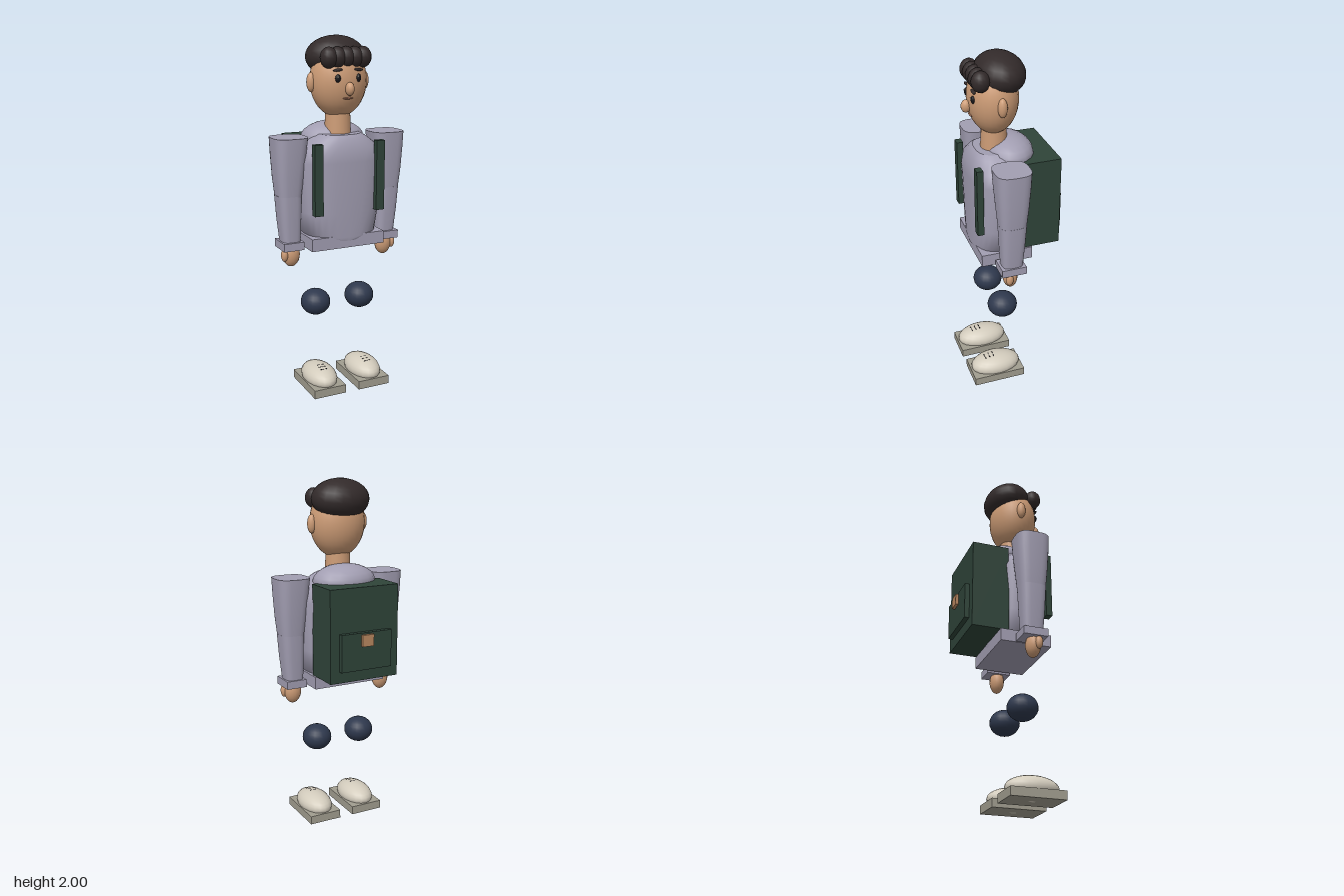
import * as THREE from 'three';

const mat = (name, color) => {
  const m = new THREE.MeshStandardMaterial({ color });
  m.name = name;
  return m;
};

// Stack of rounded-square rings, listed bottom to top as [y, centreX, radiusX, radiusZ]
function loft(rings, power, n = 28) {
  const pos = [], idx = [];
  const ringPoints = ([y, cx, rx, rz]) => {
    for (let i = 0; i < n; i++) {
      const a = (i / n) * Math.PI * 2, c = Math.cos(a), s = Math.sin(a);
      pos.push(cx + rx * Math.sign(c) * Math.abs(c) ** (2 / power), y, rz * Math.sign(s) * Math.abs(s) ** (2 / power));
    }
  };
  rings.forEach(ringPoints);
  for (let r = 0; r < rings.length - 1; r++) {
    for (let i = 0; i < n; i++) {
      const a = r * n + i, b = r * n + (i + 1) % n;
      idx.push(a, a + n, b, b, a + n, b + n);
    }
  }
  // flat caps with their own vertices
  [rings[0], rings[rings.length - 1]].forEach((ring, top) => {
    const start = pos.length / 3;
    ringPoints(ring);
    pos.push(ring[1], ring[0], 0);
    for (let i = 0; i < n; i++) {
      const a = start + i, b = start + (i + 1) % n;
      idx.push(start + n, ...(top ? [b, a] : [a, b]));
    }
  });
  const g = new THREE.BufferGeometry();
  g.setAttribute('position', new THREE.Float32BufferAttribute(pos, 3));
  g.setIndex(idx);
  g.computeVertexNormals();
  return g;
}

export function createModel() {
  const model = new THREE.Group();
  model.name = 'backpacker';

  const skin = mat('skin', 0xcd9c76);
  const hair = mat('hair', 0x322a2a);
  const shirt = mat('lavender shirt', 0xa29eb2);
  const green = mat('pack green', 0x2f4439);
  const navy = mat('navy', 0x2e384d);
  const cream = mat('shoe cream', 0xd3ccbd);
  const soleGrey = mat('sole grey', 0xa19d8f);
  const black = mat('black', 0x17161a);
  const lip = mat('lip', 0xa8735a);
  const tan = mat('buckle tan', 0xb98860);

  const add = (name, geometry, material, x = 0, y = 0, z = 0) => {
    const m = new THREE.Mesh(geometry, material);
    m.name = name;
    m.position.set(x, y, z);
    model.add(m);
    return m;
  };
  const ball = (name, material, [x, y, z], [rx, ry, rz], w = 20, h = 14) =>
    add(name, new THREE.SphereGeometry(1, w, h).scale(rx, ry, rz), material, x, y, z);
  // box given by its limits
  const box = (name, material, [x0, x1], [y0, y1], [z0, z1]) =>
    add(name, new THREE.BoxGeometry(x1 - x0, y1 - y0, z1 - z0), material, (x0 + x1) / 2, (y0 + y1) / 2, (z0 + z1) / 2);

  // Head and face
  ball('head', skin, [0, 1.76, 0.08], [0.16, 0.2, 0.138], 28, 20);
  add('neck', new THREE.CylinderGeometry(0.069, 0.074, 0.15, 20), skin, 0, 1.53, 0.075);
  ball('nose', skin, [0, 1.725, 0.225], [0.024, 0.036, 0.029], 14, 10);
  ball('mouth', lip, [0, 1.674, 0.203], [0.03, 0.006, 0.008], 12, 8);

  // Hair cap and fringe
  ball('hairCap', hair, [0, 1.888, 0.042], [0.169, 0.112, 0.138], 20, 14).rotation.x = -0.12;
  for (let i = -2; i <= 2; i++) {
    ball('fringeCurl', hair, [i * 0.05, 1.888, 0.175], [0.047, 0.057, 0.05], 14, 10);
  }

  // Torso, hem and hood
  add('torso', loft([
    [0.89, 0, 0.1, 0.15],
    [0.91, 0, 0.205, 0.152],
    [1.05, 0, 0.23, 0.155],
    [1.33, 0, 0.252, 0.16],
    [1.4, 0, 0.225, 0.152],
    [1.455, 0, 0.155, 0.13],
    [1.475, 0, 0.12, 0.11],
  ], 2.7), shirt, 0, 0, 0.075);
  box('hem', shirt, [-0.22, 0.22], [0.85, 0.92], [-0.075, 0.22]);
  ball('hood', shirt, [0, 1.44, 0], [0.185, 0.096, 0.14], 18, 12);

  // Backpack
  box('pack', green, [-0.21, 0.21], [0.92, 1.44], [-0.238, -0.024]);
  box('packPocket', green, [-0.155, 0.155], [0.985, 1.195], [-0.265, -0.23]);
  box('packBuckle', tan, [-0.035, 0.035], [1.12, 1.185], [-0.282, -0.26]);

  for (const s of [1, -1]) {
    const side = s > 0 ? 'left' : 'right';
    const span = (a, b) => (s > 0 ? [a, b] : [-b, -a]);

    // Ears, eyes and brows
    ball(side + 'Ear', skin, [s * 0.16, 1.755, 0.077], [0.025, 0.053, 0.026], 14, 10);
    ball(side + 'Eye', black, [s * 0.06, 1.78, 0.204], [0.016, 0.022, 0.012], 12, 10);
    ball(side + 'EyeGlint', cream, [s * 0.06 - 0.004, 1.788, 0.214], [0.004, 0.005, 0.004], 8, 6);
    ball(side + 'Brow', hair, [s * 0.06, 1.824, 0.203], [0.029, 0.008, 0.01], 12, 8).rotation.z = -s * 0.08;

    // Arm, cuff and hand
    add(side + 'UpperArm', loft([
      [1.14, s * 0.301, 0.066, 0.074],
      [1.25, s * 0.301, 0.078, 0.084],
      [1.38, s * 0.297, 0.09, 0.094],
      [1.468, s * 0.294, 0.097, 0.098],
    ], 3.2), shirt, 0, 0, 0.075);
    add(side + 'Forearm', loft([
      [0.87, s * 0.292, 0.052, 0.058],
      [1.02, s * 0.298, 0.062, 0.068],
      [1.15, s * 0.302, 0.067, 0.075],
    ], 3.2), shirt, 0, 0, 0.075);
    box(side + 'Cuff', shirt, span(0.236, 0.355), [0.845, 0.89], [0.007, 0.147]);
    ball(side + 'Hand', skin, [s * 0.29, 0.81, 0.083], [0.05, 0.07, 0.042], 16, 12);
    ball(side + 'Thumb', skin, [s * 0.336, 0.813, 0.1], [0.02, 0.037, 0.022], 12, 8);

    // Shoulder strap
    box(side + 'Strap', green, span(0.16, 0.21), [1.05, 1.44], [0.202, 0.238]);

    // Knee and shoe
    ball(side + 'Knee', navy, [s * 0.14, 0.505, 0.077], [0.085, 0.075, 0.087], 20, 14);
    box(side + 'Sole', soleGrey, span(0.042, 0.236), [0.001, 0.05], [-0.031, 0.28]);
    ball(side + 'ShoeUpper', cream, [s * 0.14, 0.068, 0.124], [0.093, 0.068, 0.151], 20, 14);
    for (let i = 0; i < 3; i++) {
      const z = 0.14 + i * 0.025;
      const y = 0.068 + 0.068 * Math.sqrt(1 - ((z - 0.124) / 0.151) ** 2);
      box(side + 'Lace', black, [s * 0.14 - 0.02, s * 0.14 + 0.02], [y - 0.007, y - 0.0005], [z - 0.003, z + 0.003]);
    }
  }
  return model;
}
